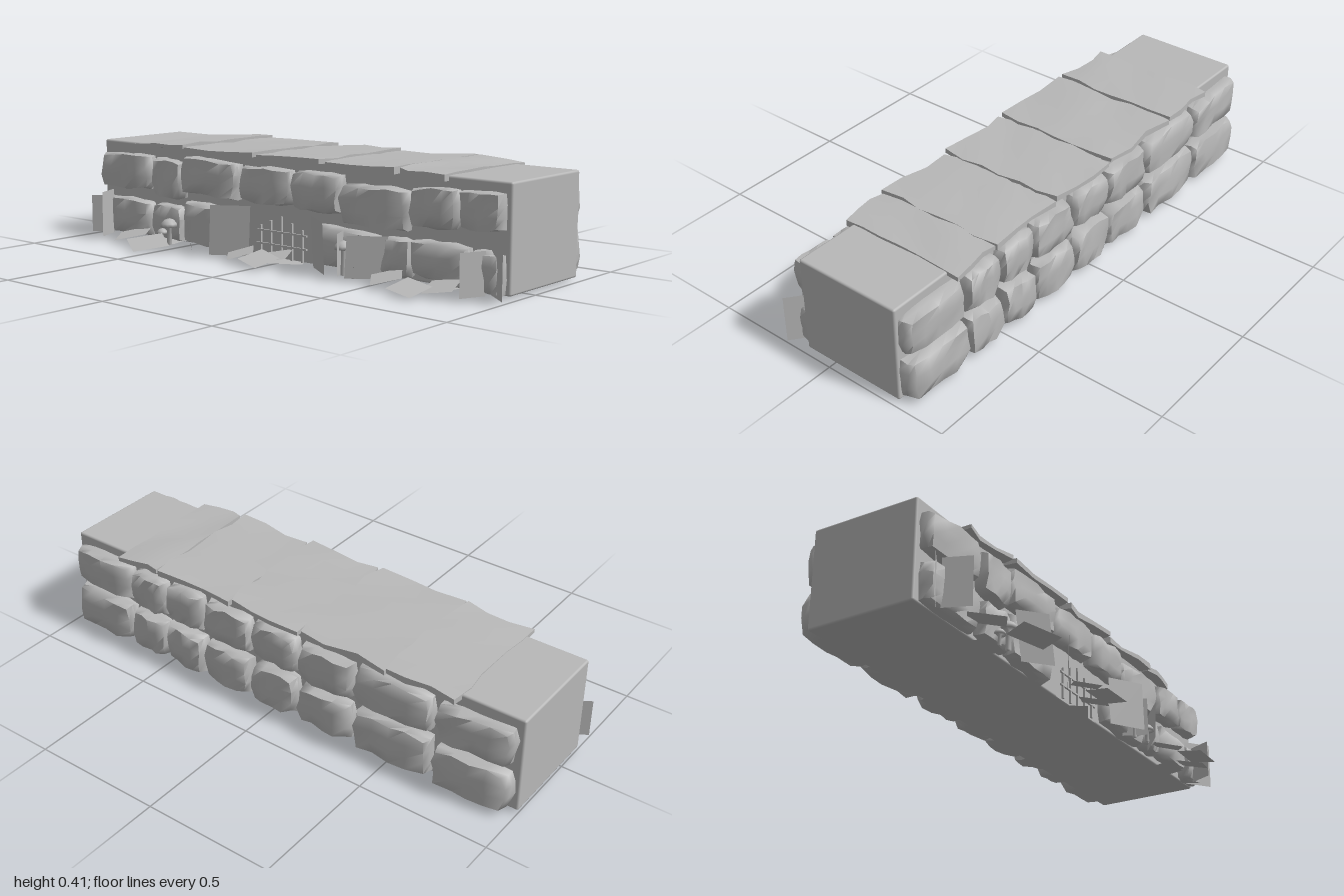
import * as THREE from 'three';
import { mergeVertices, toCreasedNormals } from 'three/addons/utils/BufferGeometryUtils.js';
import { RoundedBoxGeometry } from 'three/addons/geometries/RoundedBoxGeometry.js';

// Repeatable value in -1..1 for a seed and a grid position
function noise(seed, a, b, c) {
  const s = Math.sin(seed * 12.99 + a * 78.23 + b * 37.72 + c * 51.17) * 43758.5453;
  return (s - Math.floor(s)) * 2 - 1;
}

// Box whose vertices, given as -1..1 coordinates, are moved by a rule
function warpedBox(segments, crease, rule) {
  const geo = new THREE.BoxGeometry(2, 2, 2, ...segments);
  geo.deleteAttribute('uv');
  geo.deleteAttribute('normal');
  const p = geo.attributes.position;
  for (let i = 0; i < p.count; i++) p.setXYZ(i, ...rule(p.getX(i), p.getY(i), p.getZ(i)));
  return toCreasedNormals(mergeVertices(geo), crease);
}

// Hewn block filling the given ranges, corners worn and faces uneven
function stoneGeometry([x0, x1], [y0, y1], [z0, z1], seed) {
  const twist = 0.08 * noise(seed, 1, 2, 3);
  const wear = (u, v) => 1 - 0.07 * u ** 4 - 0.08 * v ** 4;
  return warpedBox([4, 3, 3], 1.25, (a, b, c) => {
    const n = (k) => noise(seed + k, Math.round(a * 6), Math.round(b * 6), Math.round(c * 6));
    const x = a * wear(b, c) + 0.05 * n(1);
    const y = b * wear(a, c) + 0.08 * n(2) + twist * a;
    const z = c * wear(a, b) + 0.14 * n(3);
    return [
      (x0 + x1 + x * (x1 - x0)) / 2,
      (y0 + y1 + y * (y1 - y0)) / 2,
      (z0 + z1 + z * (z1 - z0)) / 2,
    ];
  });
}

// Broad capping slab with ragged ends, tilted so that it steps down to its neighbour
function slabGeometry(x0, x1, tilt, seed) {
  return warpedBox([3, 1, 6], 0.6, (a, b, c) => {
    const n = (k) => noise(seed + k, Math.round(a * 3), 0, Math.round(c * 3));
    const end = Math.abs(c) === 1 ? 1 : 0;
    return [
      (x0 + x1) / 2 + a * (x1 - x0) / 2 * (1 - 0.06 * c ** 4) + 0.012 * n(1),
      b > 0 ? 0.402 + tilt * a + 0.004 * n(2) - 0.003 * end : 0.38 + tilt * a + 0.005 * n(4),
      -0.09 + c * 0.247 + end * 0.014 * n(3),
    ];
  });
}

export function createModel() {
  const stone = new THREE.MeshStandardMaterial({ color: 0xb8b8b8 });
  stone.name = 'grey stone';
  const leaf = new THREE.MeshStandardMaterial({ color: 0xb8b8b8, side: THREE.DoubleSide });
  leaf.name = 'grey leaf';

  const wall = new THREE.Group();
  wall.name = 'stoneWall';
  const add = (geo, name, mat = stone, parent = wall) => {
    const mesh = new THREE.Mesh(geo, mat);
    mesh.name = name;
    parent.add(mesh);
    return mesh;
  };
  const group = (name) => {
    const g = new THREE.Group();
    g.name = name;
    wall.add(g);
    return g;
  };

  // Solid core
  add(new RoundedBoxGeometry(1.98, 0.375, 0.42, 2, 0.008), 'core').position.set(-0.01, 0.2025, -0.09);

  // Front stones: x range, y range
  const front = group('frontStones');
  [
    [-0.98, -0.69, 0.205, 0.345], [-0.67, -0.51, 0.19, 0.34], [-0.51, -0.21, 0.215, 0.36],
    [-0.2, 0.06, 0.215, 0.35], [0.06, 0.29, 0.215, 0.355], [0.29, 0.59, 0.185, 0.33],
    [0.6, 0.79, 0.21, 0.35], [0.8, 0.965, 0.225, 0.355],
    [-0.98, -0.69, 0.02, 0.165], [-0.67, -0.51, 0.025, 0.16], [-0.5, -0.23, 0.02, 0.18],
    [0.17, 0.46, 0.02, 0.165], [0.47, 0.6, 0.03, 0.16], [0.6, 0.84, 0.04, 0.165],
    [0.85, 0.965, 0.02, 0.16],
  ].forEach(([x0, x1, y0, y1], i) => {
    add(stoneGeometry([x0, x1], [y0, y1], [0.08, 0.172], i + 1), 'frontStone', stone, front);
  });

  // Back stones: two courses sharing the same joints
  const back = group('backStones');
  const joints = [-0.985, -0.68, -0.35, -0.11, 0.1, 0.325, 0.505, 0.68, 0.975];
  for (let i = 0; i < 8; i++) {
    const xs = [joints[i] + 0.006, joints[i + 1] - 0.006];
    const lift = 0.008 * noise(i, 4, 5, 6);
    add(stoneGeometry(xs, [0.2 + lift, 0.348 + lift], [-0.352, -0.26], 31 + i), 'backUpperStone', stone, back);
    add(stoneGeometry(xs, [0.022, 0.176 + lift], [-0.362, -0.26], 51 + i), 'backLowerStone', stone, back);
  }

  // Capping slabs: x range, sideways tilt
  const caps = group('cappingSlabs');
  [[-0.76, -0.485, 0.006], [-0.49, -0.115, 0.004], [-0.12, 0.205, 0.005],
    [0.2, 0.54, 0.005], [0.535, 0.73, -0.006]].forEach(([x0, x1, tilt], i) => {
    add(slabGeometry(x0, x1, tilt, 71 + i), 'cappingSlab', stone, caps);
  });

  // Arched drain opening with a barred grate
  const grate = group('drainGrate');
  const arch = new THREE.Shape();
  arch.moveTo(-0.14, 0.015);
  arch.lineTo(0.14, 0.015);
  arch.lineTo(0.14, 0.09);
  arch.absellipse(0, 0.09, 0.14, 0.09, 0, Math.PI, false);
  arch.lineTo(-0.14, 0.015);
  add(new THREE.ShapeGeometry(arch, 12), 'drainOpening', stone, grate).position.z = 0.123;
  for (let i = 0; i < 5; i++) {
    const x = -0.11 + i * 0.052;
    const top = 0.175 - 0.02 * Math.abs(i - 2);
    add(new THREE.BoxGeometry(0.008, top - 0.015, 0.008), 'uprightBar', stone, grate)
      .position.set(x, (top + 0.015) / 2, 0.135);
  }
  for (const y of [0.065, 0.115]) {
    add(new THREE.BoxGeometry(0.25, 0.007, 0.007), 'crossBar', stone, grate).position.set(-0.005, y, 0.137);
  }

  // Upright leaf cards: foot from (x0, z0) to (x1, z1), top height, sideways lean
  const uprights = group('uprightLeaves');
  [[-0.91, 0.16, -0.87, 0.255, 0.195, 0], [-0.45, 0.17, -0.36, 0.25, 0.195, -0.04],
    [-0.27, 0.25, -0.14, 0.17, 0.205, 0.01], [0.18, 0.17, 0.3, 0.25, 0.2, -0.01],
    [0.31, 0.15, 0.35, 0.24, 0.165, 0], [0.39, 0.25, 0.5, 0.16, 0.165, 0.01],
    [0.91, 0.16, 0.87, 0.25, 0.165, 0], [0.91, 0.13, 1.0, 0.2, 0.2, 0],
    [-1.0, 0.2, -0.92, 0.15, 0.165, 0]].forEach(([x0, z0, x1, z1, h, lean]) => {
    const geo = new THREE.PlaneGeometry(1, 1);
    const p = geo.attributes.position;
    for (let i = 0; i < 4; i++) {
      const t = p.getX(i) + 0.5, v = p.getY(i) + 0.5;
      p.setXYZ(i, x0 + (x1 - x0) * t + lean * v, 0.015 + (h - 0.015) * v, z0 + (z1 - z0) * t);
    }
    geo.computeVertexNormals();
    add(geo, 'uprightLeaf', leaf, uprights);
  });

  // Low leaf cards spread on the ground: centre x, y, z, turn, size, slope, sideways roll
  const ground = group('groundLeaves');
  [[-0.73, 0.04, 0.215, 0.6, 0.13, 0.2, 0.12], [-0.565, 0.032, 0.29, -0.55, 0.14, 0.2, -0.1],
    [-0.12, 0.04, 0.235, 0.7, 0.1, 0.25, 0.15], [-0.01, 0.035, 0.255, -0.2, 0.11, 0.25, -0.12],
    [0.02, 0.04, 0.19, 0.4, 0.1, 0.25, 0.1], [0.55, 0.04, 0.22, 0.6, 0.11, 0.25, 0.12],
    [0.69, 0.032, 0.28, -0.1, 0.11, 0.22, -0.12], [0.78, 0.04, 0.22, 0.25, 0.11, 0.25, 0.1],
    [-0.62, 0.01, 0.12, 0.2, 0.12, 0.04, 0.02], [0, 0.008, 0.1, 0.5, 0.13, 0.04, -0.02],
    [0.7, 0.008, 0.12, -0.3, 0.12, 0.04, 0.02]].forEach(([x, y, z, turn, size, slope, roll]) => {
    const geo = new THREE.PlaneGeometry(size, size)
      .rotateX(-Math.PI / 2).rotateY(turn).rotateX(slope).rotateZ(roll);
    add(geo, 'groundLeaf', leaf, ground).position.set(x, y, z);
  });

  // Small mushrooms at the foot of the wall: x, z, height, cap radius
  const mushrooms = group('mushrooms');
  [[0.335, 0.19, 0.125, 0.032], [0.4, 0.21, 0.07, 0.027], [-0.555, 0.185, 0.105, 0.034],
    [-0.6, 0.18, 0.06, 0.022]].forEach(([x, z, h, r]) => {
    const profile = [[0, 0], [0.3, 0], [0.26, 1], [1, 1], [0.95, 1.4], [0.6, 1.8], [0, 2]]
      .map(([a, b]) => new THREE.Vector2(a * r, b <= 1 ? b * (h - r) : h - r + (b - 1) * r));
    add(new THREE.LatheGeometry(profile, 10), 'mushroom', leaf, mushrooms).position.set(x, 0.01, z);
  });

  return wall;
}
